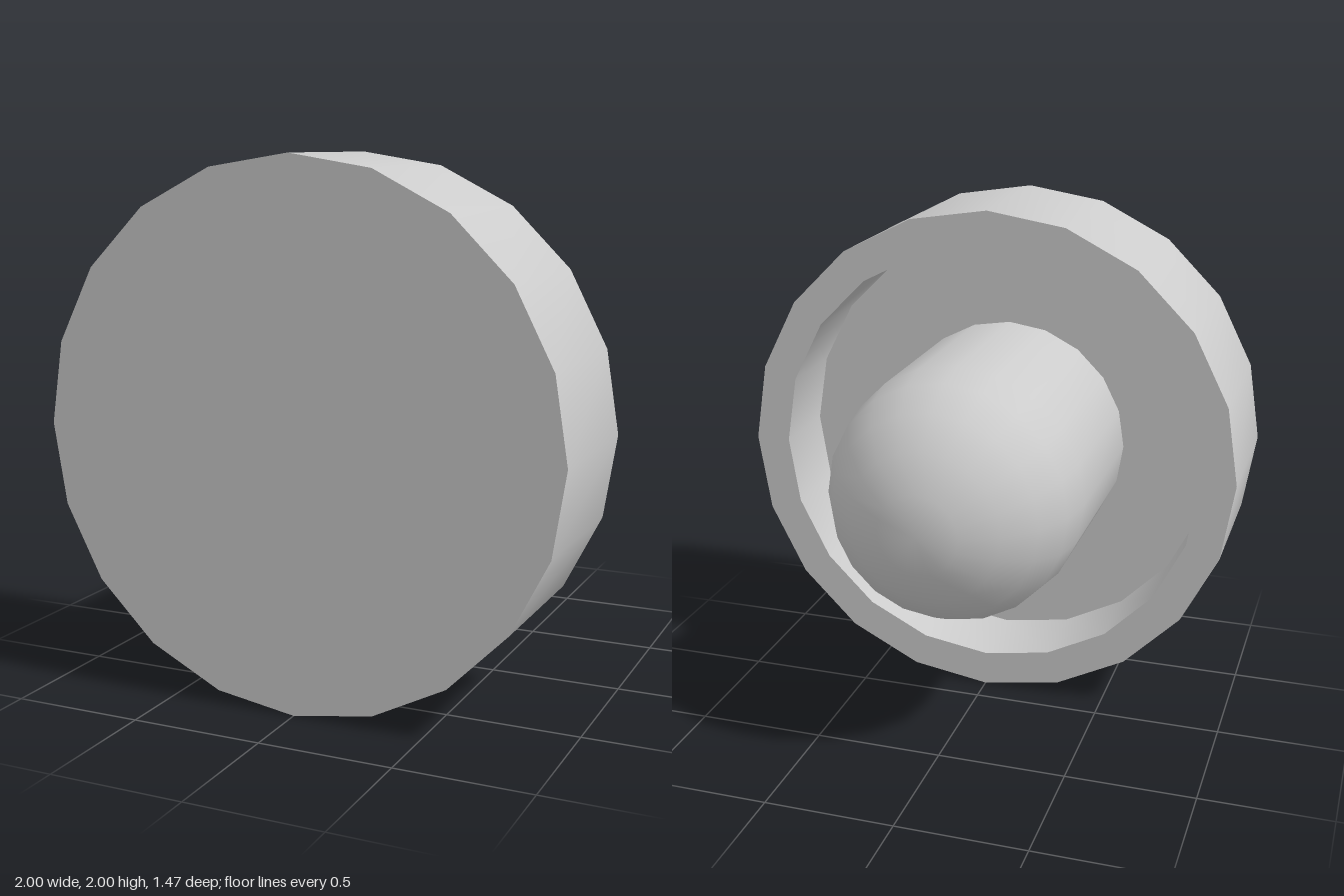
import * as THREE from 'three';
import { toCreasedNormals } from 'three/addons/utils/BufferGeometryUtils.js';

const SIDES = 20;
const POST_RADIUS = 0.49;
const FLOOR_Z = 0.44; // bottom of the recess in the cap

// Turn a [radius, z] profile around the front-to-back axis
function turned(name, profile, material) {
  const points = profile.map(([r, z]) => new THREE.Vector2(r, z));
  const lathe = new THREE.LatheGeometry(points, SIDES).rotateX(Math.PI / 2);
  const mesh = new THREE.Mesh(toCreasedNormals(lathe, 0.6), material);
  mesh.name = name;
  mesh.position.y = 1;
  return mesh;
}

export function createModel() {
  const group = new THREE.Group();
  group.name = 'roundKnob';
  const material = new THREE.MeshStandardMaterial({ color: 0xcccccc });

  // Wide cap, hollowed from the back
  group.add(turned('cap', [
    [0, FLOOR_Z], [0.86, FLOOR_Z], [0.86, 0.113],
    [1, 0.113], [1, 0.735], [0, 0.735],
  ], material));

  // Post with a hemispherical end, standing on the recess floor
  const post = [];
  for (let i = 0; i <= 5; i++) {
    const a = (i / 5) * Math.PI / 2;
    post.push([POST_RADIUS * Math.sin(a), -0.245 - POST_RADIUS * Math.cos(a)]);
  }
  post.push([POST_RADIUS, FLOOR_Z]);
  group.add(turned('domedPost', post, material));

  return group;
}
